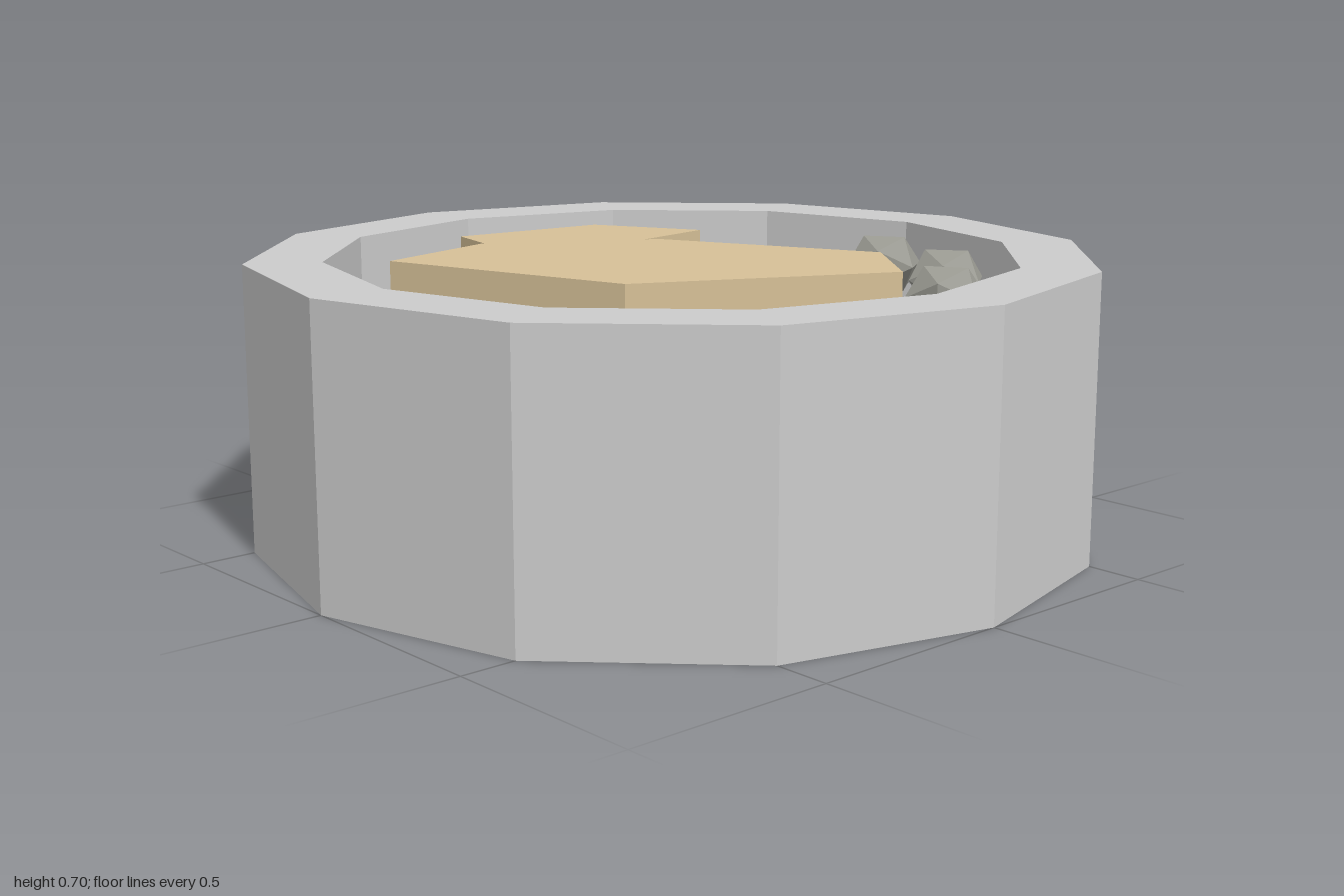
import * as THREE from 'three';

const WALL_TOP = 0.68;
const FLOOR = 0.52;
const SIDES = 12;

const flat = (color) => new THREE.MeshStandardMaterial({ color, flatShading: true });

// Flat stepping slab from its plan corners [x, z], standing on the floor
function slab(name, corners, top, material) {
  const shape = new THREE.Shape(corners.map(([x, z]) => new THREE.Vector2(x, -z)));
  const geometry = new THREE.ExtrudeGeometry(shape, { depth: top - FLOOR, bevelEnabled: false });
  geometry.rotateX(-Math.PI / 2);
  const mesh = new THREE.Mesh(geometry, material);
  mesh.name = name;
  mesh.position.y = FLOOR;
  return mesh;
}

export function createModel() {
  const model = new THREE.Group();
  model.name = 'roundPlanter';

  // Twelve-sided wall with thick rim, closed underneath
  const profile = [[0, 0], [1, 0], [1, WALL_TOP], [0.82, WALL_TOP], [0.82, FLOOR]]
    .map(([r, y]) => new THREE.Vector2(r, y));
  const wall = new THREE.Mesh(new THREE.LatheGeometry(profile, SIDES), flat(0xcccccc));
  wall.name = 'wall';
  model.add(wall);

  // Darker gravel floor
  const floorGeometry = new THREE.CircleGeometry(0.82, SIDES).rotateX(-Math.PI / 2);
  const floor = new THREE.Mesh(floorGeometry, flat(0xa3a3a3));
  floor.name = 'gravelFloor';
  floor.position.y = FLOOR;
  model.add(floor);

  // Two sandy slabs
  const sand = flat(0xd6c097);
  model.add(
    slab('largeSlab', [[-0.05, 0], [-0.27, 0.36], [-0.18, 0.68], [0.41, 0.5], [0.68, -0.05], [0.45, -0.23]], 0.705, sand),
    slab('smallSlab', [[-0.41, -0.46], [-0.68, -0.32], [-0.73, 0.09], [-0.55, 0.13], [-0.37, -0.23]], 0.65, sand),
  );

  // Three squat pebbles along the back
  const stone = flat(0x9a9a92);
  const pebbleGeometry = new THREE.IcosahedronGeometry(0.1, 0);
  [[0.05, -0.68, 0.55], [0.32, -0.61, 0.62], [0.5, -0.4, 0.5]].forEach(([x, z, turn], i) => {
    const pebble = new THREE.Mesh(pebbleGeometry, stone);
    pebble.name = `pebble${i + 1}`;
    pebble.position.set(x, 0.59, z);
    pebble.rotation.y = turn;
    pebble.scale.y = 0.82;
    model.add(pebble);
  });

  return model;
}
